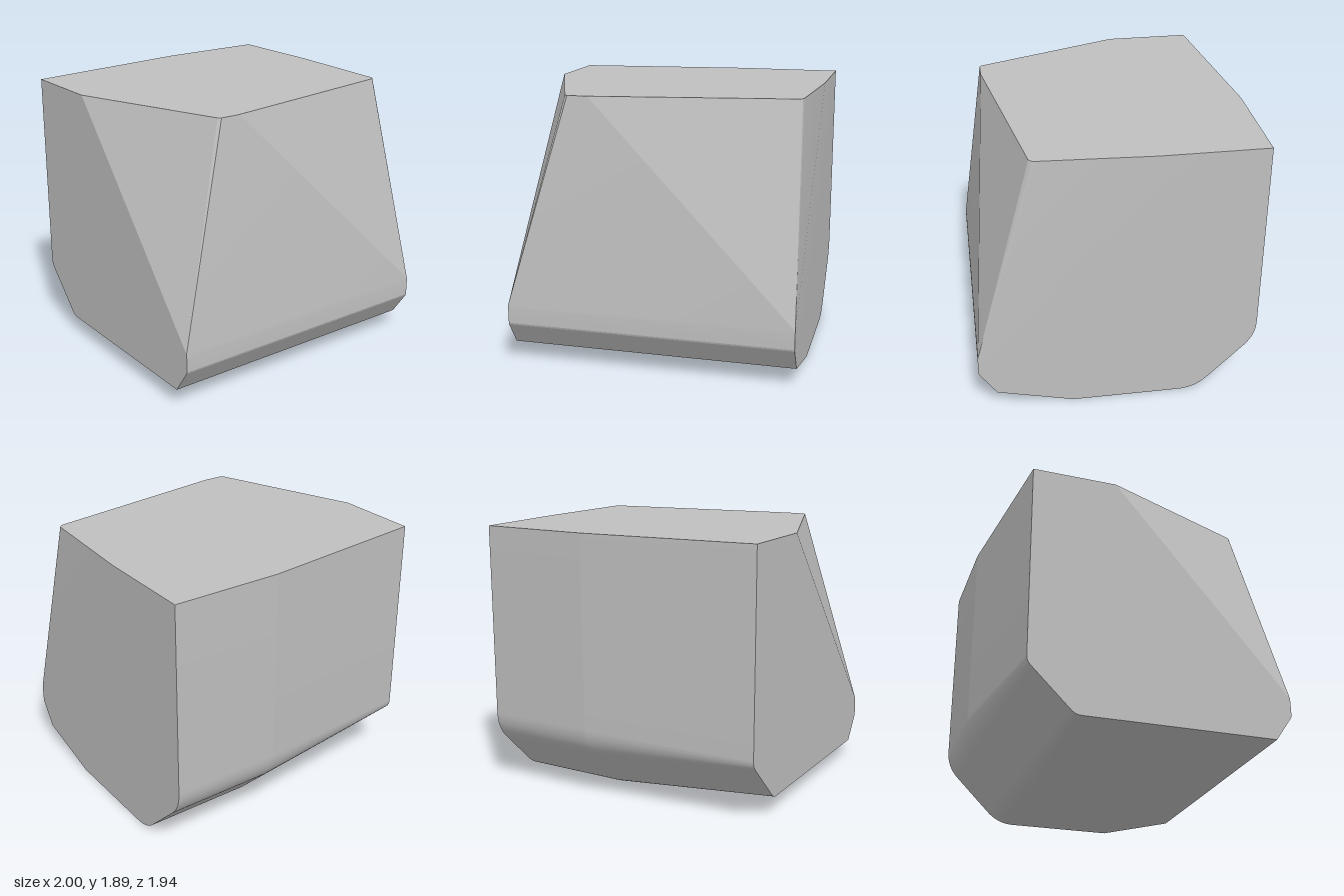
import * as THREE from 'three';
import { ConvexGeometry } from 'three/addons/geometries/ConvexGeometry.js';
import { toCreasedNormals } from 'three/addons/utils/BufferGeometryUtils.js';

const TOP = 1.89;
const V = (x, y, z) => new THREE.Vector3(x, y, z);

// Rounds a corner b, cutting distance t back along the edges towards a and c
function roundCorner(a, b, c, t, n) {
  const p = b.clone().add(a.clone().sub(b).setLength(t));
  const q = b.clone().add(c.clone().sub(b).setLength(t));
  return new THREE.QuadraticBezierCurve3(p, b, q).getPoints(n);
}

// Back and underside of one cross-section: wall, slanted chamfer, floor
function backSection(x, backZ, wallY, floorZ, floorY, t) {
  const top = V(x, TOP, backZ);
  const wall = V(x, wallY, backZ);
  const floor = V(x, floorY, floorZ);
  return [
    top,
    ...roundCorner(top, wall, floor, t, 10),
    ...roundCorner(wall, floor, V(x, floorY, 0.3), t, 10),
  ];
}

export function createModel() {
  const group = new THREE.Group();
  group.name = 'chiselledBlock';
  const stone = new THREE.MeshStandardMaterial({ color: 0xbfbfbf });
  stone.name = 'stoneGrey';

  const points = [
    // back: straight on one half, slanting forward and up on the other
    ...backSection(1, -0.97, 0.42, -0.55, 0, 0.12),
    ...backSection(0.23, -0.97, 0.42, -0.55, 0, 0.12),
    ...backSection(-1, -0.84, 0.45, -0.52, 0.13, 0.04),
    // flat floor, front end
    V(1, 0, 0.32), V(0.25, 0, 0.32),
    // top outline with softened front corners
    V(1, TOP, -0.25), V(0.956, TOP, 0.52), V(0.95, TOP, 0.55), V(0.93, TOP, 0.57),
    V(-0.45, TOP, 0.79), V(-0.59, TOP, 0.79), V(-0.61, TOP, 0.775),
    V(-1, TOP, -0.25),
  ];
  // front lower lip, the same on both sides
  for (const x of [-1, 1]) {
    points.push(V(x, 0.44, 0.968), V(x, 0.41, 0.97), V(x, 0.31, 0.97), V(x, 0.297, 0.965), V(x, 0.13, 0.85));
  }

  const block = new THREE.Mesh(toCreasedNormals(new ConvexGeometry(points), 0.09), stone);
  block.name = 'block';
  group.add(block);
  return group;
}
